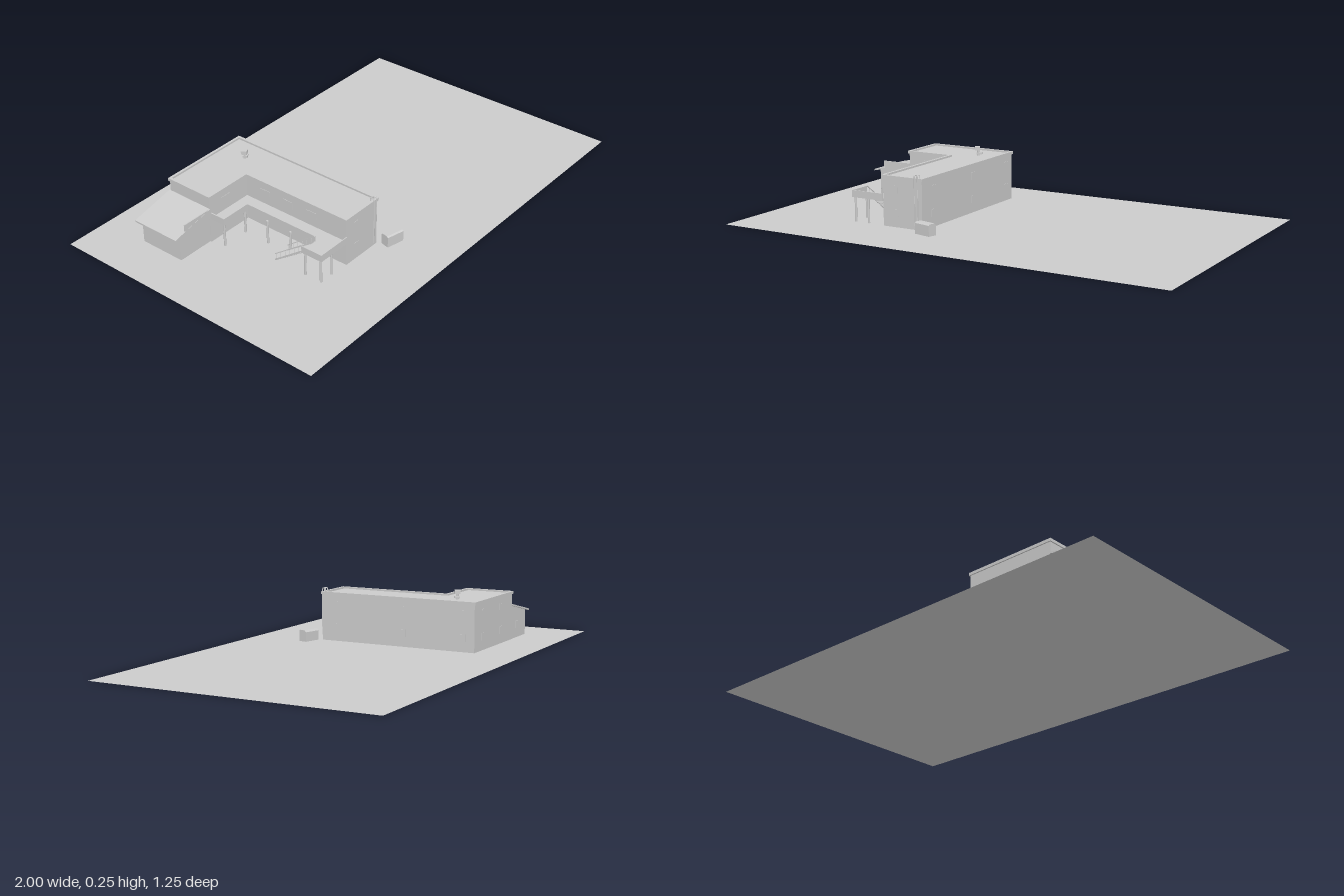
import * as THREE from 'three';

const mat = new THREE.MeshStandardMaterial({ color: 0xcccccc, flatShading: true, side: THREE.DoubleSide });

export function createModel() {
  const model = new THREE.Group();

  const add = (name, geo, x = 0, y = 0, z = 0, parent = model) => {
    const m = new THREE.Mesh(geo, mat);
    m.name = name;
    m.position.set(x, y, z);
    parent.add(m);
    return m;
  };
  // box from its min and max corners
  const box = (name, x0, x1, y0, y1, z0, z1, parent) =>
    add(name, new THREE.BoxGeometry(x1 - x0, y1 - y0, z1 - z0),
      (x0 + x1) / 2, (y0 + y1) / 2, (z0 + z1) / 2, parent);
  const trace = pts => pts.map(([x, z]) => new THREE.Vector2(x, -z));
  // plan outline raised from y0 to y1, with an optional hole
  const plan = (name, pts, y0, y1, hole) => {
    const s = new THREE.Shape(trace(pts));
    if (hole) s.holes.push(new THREE.Path(trace(hole)));
    const g = new THREE.ExtrudeGeometry(s, { depth: y1 - y0, bevelEnabled: false });
    return add(name, g.rotateX(-Math.PI / 2), 0, y0, 0);
  };
  const post = (name, x, z, y0, y1, r, parent) =>
    add(name, new THREE.CylinderGeometry(r, r, y1 - y0, 8), x, (y0 + y1) / 2, z, parent);

  // ground
  add('ground', new THREE.PlaneGeometry(2, 1.25).rotateX(-Math.PI / 2));

  // L-shaped main block; d pushes the outline outwards
  const ell = d => [
    [-0.23 + d, -0.414 - d], [-0.23 + d, 0.315 + d], [-0.42 - d, 0.315 + d],
    [-0.42 - d, -0.2 + d], [-0.635 - d, -0.2 + d], [-0.635 - d, -0.414 - d]];
  plan('mainWalls', ell(0), 0, 0.207);
  plan('roofParapet', ell(0.005), 0.203, 0.215, ell(-0.006));

  // low side wing with a sloping roof
  const side = new THREE.Shape([[-0.8, 0], [-0.635, 0], [-0.635, 0.15], [-0.8, 0.112]]
    .map(p => new THREE.Vector2(...p)));
  add('wingWalls', new THREE.ExtrudeGeometry(side, { depth: 0.206, bevelEnabled: false }), 0, 0, -0.412);
  const slope = new THREE.Shape([[-0.83, 0.106], [-0.635, 0.15], [-0.635, 0.157], [-0.83, 0.113]]
    .map(p => new THREE.Vector2(...p)));
  add('wingRoof', new THREE.ExtrudeGeometry(slope, { depth: 0.222, bevelEnabled: false }), 0, 0, -0.42);
  box('wingParapet', -0.775, -0.635, 0.115, 0.156, -0.204, -0.199);

  // raised walkway along the courtyard, with its landing
  const deck = [[-0.42, -0.2], [-0.42, 0.32], [-0.575, 0.32], [-0.575, 0.22],
    [-0.49, 0.22], [-0.49, -0.13], [-0.63, -0.13], [-0.63, -0.2]];
  plan('walkwayDeck', deck, 0.105, 0.111);
  const rails = new THREE.Group();
  rails.name = 'walkwayRails';
  model.add(rails);
  const t = 0.004;
  box('rail', -0.63, -0.63 + t, 0.105, 0.135, -0.2, -0.13, rails);
  box('rail', -0.63, -0.49, 0.105, 0.135, -0.13 - t, -0.13, rails);
  box('rail', -0.49 - t, -0.49, 0.105, 0.135, -0.13, 0.22, rails);
  box('rail', -0.575, -0.575 + t, 0.105, 0.135, 0.22, 0.32, rails);
  box('rail', -0.575, -0.42, 0.105, 0.135, 0.32 - t, 0.32, rails);
  [[-0.565, 0.308], [-0.5, 0.308], [-0.565, 0.23], [-0.5, 0.1], [-0.5, -0.02], [-0.5, -0.14], [-0.62, -0.14]]
    .forEach(([x, z]) => post('walkwayPost', x, z, 0, 0.106, 0.005));

  // stairs down from the landing
  const stairs = new THREE.Group();
  stairs.name = 'stairs';
  model.add(stairs);
  const steps = 12, z0 = 0.08, run = 0.14 / steps;
  for (let i = 0; i < steps; i++) {
    const y = 0.108 * (i + 1) / (steps + 1);
    box('step', -0.565, -0.5, y - 0.003, y, z0 + i * run, z0 + (i + 1) * run, stairs);
    if (i % 2 === 0) for (const x of [-0.57, -0.496])
      post('baluster', x, z0 + (i + 0.5) * run, y, y + 0.026, 0.001, stairs);
  }
  for (const x of [-0.57, -0.496]) for (const [h, w] of [[0.004, 0.006], [0.032, 0.003]]) {
    const bar = add('stringer', new THREE.BoxGeometry(0.003, w, Math.hypot(0.14, 0.104)), x, 0.052 + h, 0.15, stairs);
    bar.rotation.x = -Math.atan2(0.104, 0.14);
  }

  // shallow windows: [axis of the wall normal, wall plane, position along, height, width]
  const windows = [];
  for (const x of [-0.32, -0.51]) windows.push(['z', -0.414, x, 0.06, 0.03], ['z', -0.414, x, 0.16, 0.03]);
  windows.push(['z', -0.414, -0.7, 0.06, 0.03]);
  for (const y of [0.06, 0.16]) {
    for (const z of [-0.36, -0.08, 0.23]) windows.push(['x', -0.23, z, y, 0.03]);
    for (const z of [-0.1, 0.02, 0.14]) windows.push(['x', -0.42, z, y, 0.05]);
    windows.push(['z', 0.315, -0.36, y, 0.025], ['z', -0.2, -0.54, y, 0.05]);
  }
  for (const [axis, p, a, y, w] of windows) {
    const e = 0.0015, h = w / 2;
    if (axis === 'x') box('window', p - e, p + e, y - 0.016, y + 0.016, a - h, a + h);
    else box('window', a - h, a + h, y - 0.016, y + 0.016, p - e, p + e);
  }

  // pipes running up the front wall and bending over the roof
  for (const x of [-0.26, -0.245]) {
    const path = new THREE.CurvePath();
    const pts = [[0.02, 0.324], [0.228, 0.324], [0.228, 0.308], [0.207, 0.308]]
      .map(([y, z]) => new THREE.Vector3(x, y, z));
    for (let i = 0; i < 3; i++) path.add(new THREE.LineCurve3(pts[i], pts[i + 1]));
    add('wallPipe', new THREE.TubeGeometry(path, 48, 0.0025, 6));
  }

  // rooftop ventilator
  const vent = new THREE.Group();
  vent.name = 'roofVent';
  vent.position.set(-0.33, 0.205, -0.29);
  vent.rotation.y = 0.5;
  model.add(vent);
  box('ventBase', -0.006, 0.018, 0.008, 0.016, -0.008, 0.012, vent);
  post('ventStem', 0, 0, 0, 0.03, 0.005, vent);
  box('ventHead', -0.014, 0.008, 0.026, 0.042, -0.012, 0.012, vent);

  // waste container beside the front corner
  const bin = new THREE.Shape([[-0.02, 0], [0.02, 0], [0.02, 0.042], [0.012, 0.05], [-0.014, 0.05], [-0.02, 0.045]]
    .map(p => new THREE.Vector2(...p)));
  const binGeo = new THREE.ExtrudeGeometry(bin, { depth: 0.08, bevelEnabled: false })
    .translate(0, 0, -0.04).rotateY(Math.PI / 2);
  add('wasteContainer', binGeo, -0.185, 0, 0.36).rotation.y = -0.23;

  return model;
}
